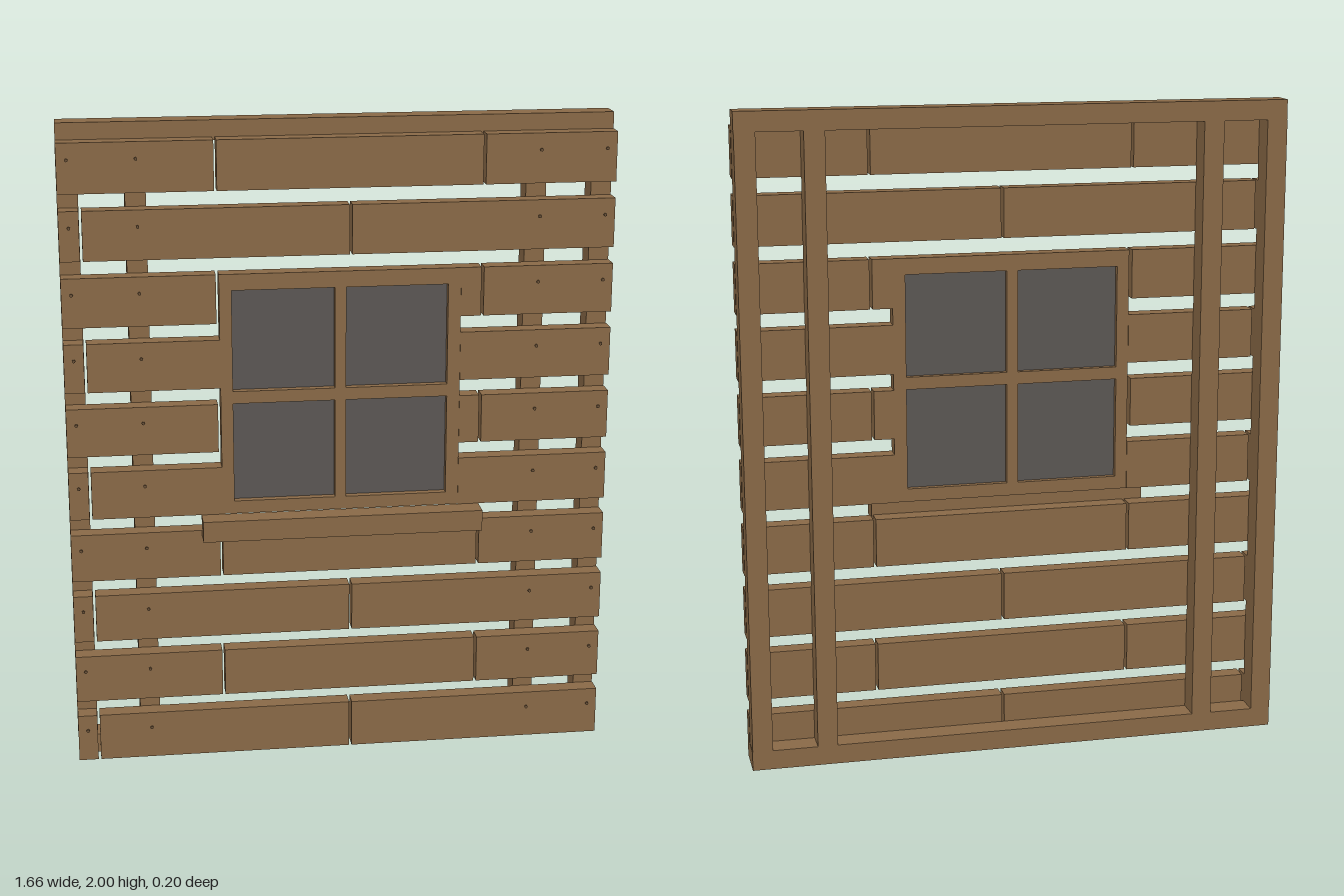
import * as THREE from 'three';

export function createModel() {
  const wood = new THREE.MeshStandardMaterial({ name: 'wood', color: 0x8b6b48 });
  const nailMat = new THREE.MeshStandardMaterial({ name: 'nail', color: 0x6b5238 });
  const glass = new THREE.MeshStandardMaterial({ name: 'smokedGlass', color: 0x5c5855 });

  const model = new THREE.Group();
  model.name = 'slattedWallWithWindow';

  const group = (name) => {
    const g = new THREE.Group();
    g.name = name;
    model.add(g);
    return g;
  };

  // Box given by its lower and upper limits on each axis
  const box = (parent, name, x0, x1, y0, y1, z0, z1, mat = wood) => {
    const m = new THREE.Mesh(new THREE.BoxGeometry(x1 - x0, y1 - y0, z1 - z0), mat);
    m.position.set((x0 + x1) / 2, (y0 + y1) / 2, (z0 + z1) / 2);
    m.name = name;
    parent.add(m);
  };

  const W = 0.83, BACK = -0.1, MID = -0.025, FRONT = 0.03;
  const win = { x: 0.365, y0: 0.8, y1: 1.535 };

  // Rear frame: two rails and four studs, each stud in three lengths
  const frame = group('rearFrame');
  box(frame, 'bottomRail', -W, W, 0, 0.06, BACK, MID);
  box(frame, 'topRail', -W, W, 1.94, 2, BACK, MID);
  const studLevels = [0.06, win.y0, win.y1, 1.94];
  for (const x of [-0.8, -0.602, 0.598, 0.798]) {
    for (let i = 0; i < 3; i++) {
      box(frame, 'stud', x - 0.031, x + 0.031, studLevels[i], studLevels[i + 1], BACK, MID);
    }
  }

  // Front planks with staggered joints, cut away around the window
  const planks = group('planks');
  const nails = group('nails');
  const nailGeo = new THREE.CylinderGeometry(0.005, 0.005, 0.01, 8).rotateX(Math.PI / 2);
  const joints = [
    [[-W, -0.77], [-0.762, 0.026], [0.034, W]],
    [[-W, -0.374], [-0.366, 0.426], [0.434, W]],
  ];
  for (let row = 0; row < 10; row++) {
    const y0 = row * 0.2, y1 = y0 + 0.15;
    const beside = y1 > win.y0 && y0 < win.y1 && row > 3;
    for (const [a, b] of joints[row % 2]) {
      if (!beside || b <= -win.x || a >= win.x) {
        box(planks, 'plank', a, b, y0, y1, MID, FRONT);
        continue;
      }
      if (a < -win.x - 0.01) box(planks, 'plank', a, -win.x, y0, y1, MID, FRONT);
      if (b > win.x) box(planks, 'plank', win.x, b, y0, y1, MID, FRONT);
      if (y1 > win.y1) {
        box(planks, 'plankAboveWindow', Math.max(a, -win.x), Math.min(b, win.x), win.y1, y1, MID, FRONT);
      }
    }
    for (const x of [-0.8, -0.6, 0.6, 0.8]) {
      const nail = new THREE.Mesh(nailGeo, nailMat);
      nail.position.set(x, y0 + 0.1, FRONT);
      nail.name = 'nail';
      nails.add(nail);
    }
  }

  // Window frame with crossing bars around four panes
  const windowGroup = group('window');
  const shape = new THREE.Shape();
  const rect = (path, x0, x1, y0, y1) =>
    path.moveTo(x0, y0).lineTo(x1, y0).lineTo(x1, y1).lineTo(x0, y1).closePath();
  rect(shape, -win.x, win.x, win.y0, win.y1);
  for (const [x0, x1] of [[-0.328, -0.018], [0.016, 0.326]]) {
    for (const [y0, y1] of [[0.84, 1.15], [1.188, 1.5]]) {
      const hole = new THREE.Path();
      rect(hole, x0, x1, y0, y1);
      shape.holes.push(hole);
      box(windowGroup, 'pane', x0, x1, y0, y1, -0.004, 0.004, glass);
    }
  }
  const sash = new THREE.Mesh(
    new THREE.ExtrudeGeometry(shape, { depth: 0.05, bevelEnabled: false }), wood);
  sash.position.z = -0.022;
  sash.name = 'windowFrame';
  windowGroup.add(sash);

  // Sill projecting below the window
  box(windowGroup, 'windowSill', -0.43, 0.43, 0.735, 0.8, FRONT, 0.1);

  return model;
}
